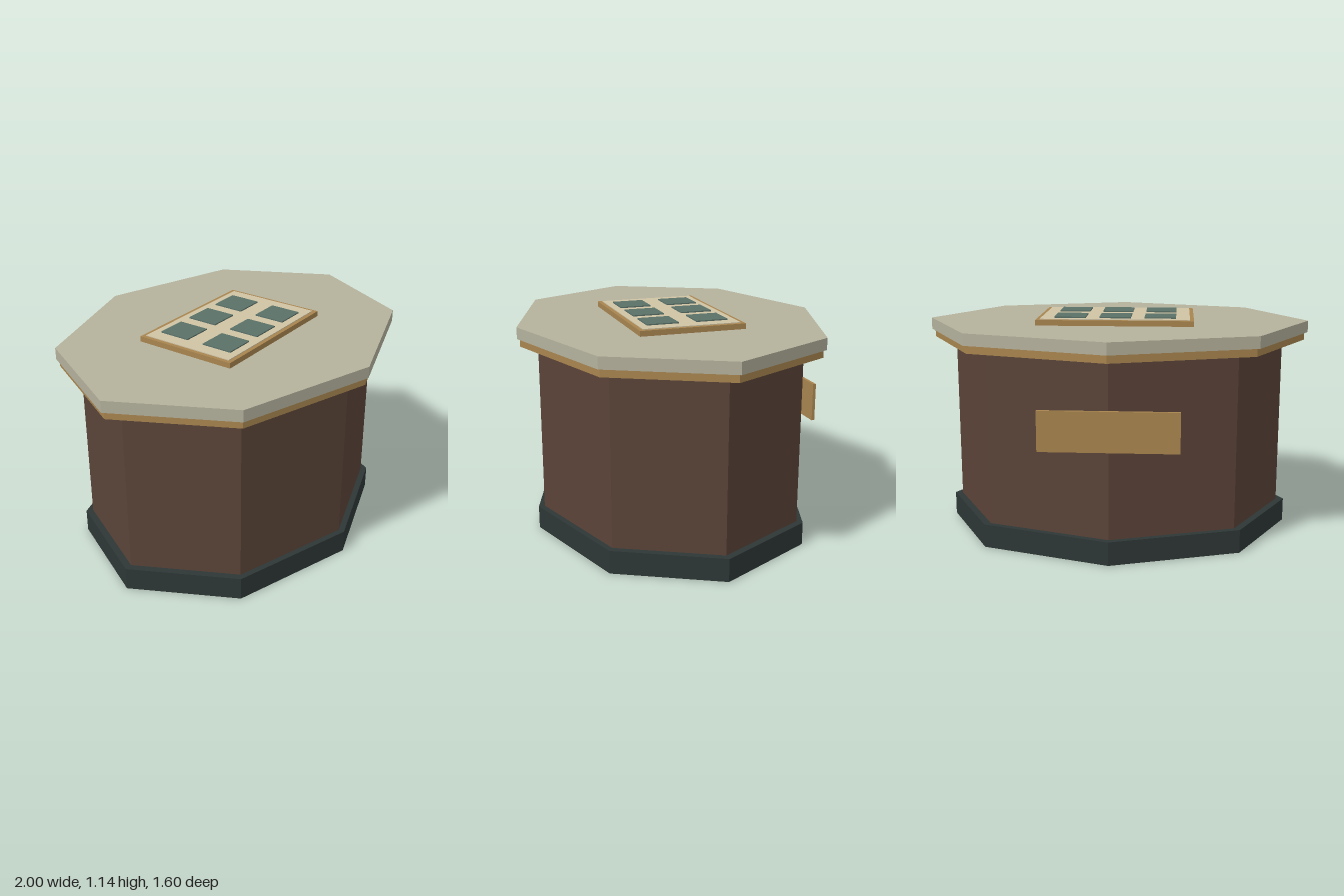
import * as THREE from 'three';

const DEPTH = 0.8; // depth of the octagon relative to its width

const mat = (color) => new THREE.MeshStandardMaterial({ color, flatShading: true });
const wood = mat(0x5a4338);
const slate = mat(0x2d3736);
const brass = mat(0xa8854f);
const stone = mat(0xb4b19c);
const parchment = mat(0xcfc3a4);
const green = mat(0x5a7168);

export function createModel() {
  const group = new THREE.Group();

  const add = (name, geometry, material, x, y, z) => {
    const mesh = new THREE.Mesh(geometry, material);
    mesh.name = name;
    mesh.position.set(x, y, z);
    group.add(mesh);
  };

  // Flattened octagonal slab with corners on the axes
  const octagon = (name, radius, y0, y1, material) => {
    const geometry = new THREE.CylinderGeometry(radius, radius, y1 - y0, 8);
    geometry.scale(1, 1, DEPTH);
    add(name, geometry, material, 0, (y0 + y1) / 2, 0);
  };

  // Box centred on x and z, spanning y0 to y1
  const slab = (name, w, d, y0, y1, material, x = 0, z = 0) =>
    add(name, new THREE.BoxGeometry(w, y1 - y0, d), material, x, (y0 + y1) / 2, z);

  // Stacked octagonal body
  octagon('plinth', 0.908, 0, 0.12, slate);
  octagon('body', 0.868, 0.12, 1.0, wood);
  octagon('topTrim', 0.982, 1.0, 1.04, brass);
  octagon('tabletop', 1.0, 1.04, 1.1, stone);

  // Framed board on the top
  slab('boardFrame', 0.8, 0.55, 1.1, 1.128, brass);
  slab('boardSheet', 0.76, 0.508, 1.12, 1.132, parchment);
  for (const z of [-0.13, 0.13]) {
    for (const x of [-0.23, 0, 0.23]) {
      slab('boardTile', 0.16, 0.166, 1.125, 1.138, green, x, z);
    }
  }

  // Plaque on the back corner
  slab('backPlaque', 0.68, 0.016, 0.56, 0.76, brass, 0, -0.703);

  return group;
}
